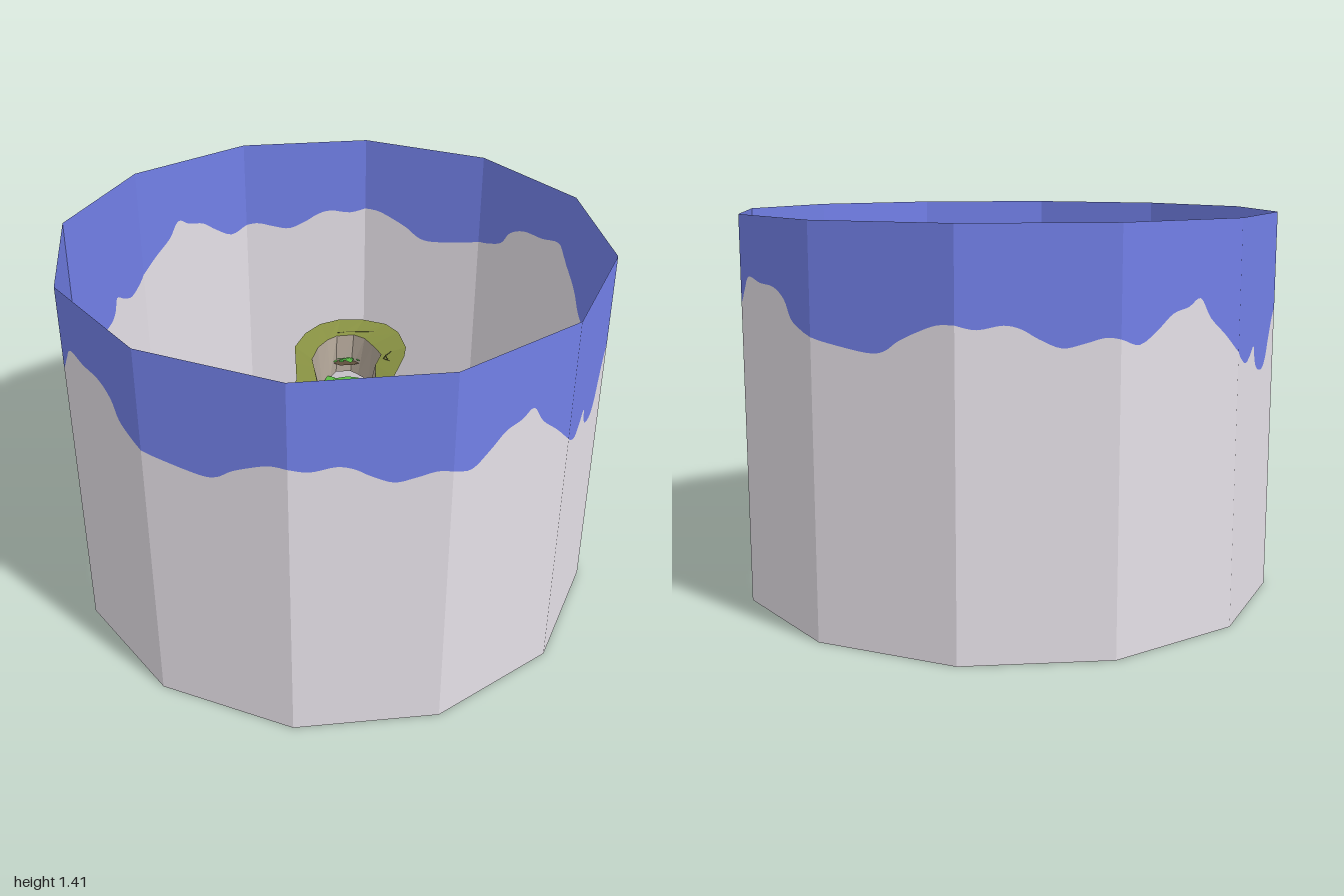
import * as THREE from 'three';

const mat = (name, color, side = THREE.FrontSide) => {
  const m = new THREE.MeshStandardMaterial({ color, side });
  m.name = name;
  return m;
};

// Horizon line: [position along the 12-sided wall, height], repeated twice around
const HORIZON = [
  [0, 1.1], [0.13, 1.085], [0.29, 1.098], [0.4, 1.085], [0.5, 1.055], [0.64, 1.025], [0.77, 1.037], [0.9, 1.055],
  [1, 1.05], [1.15, 1.027], [1.3, 1.07], [1.42, 1.115], [1.55, 1.132], [1.65, 1.157], [1.74, 1.09], [1.88, 1.027],
  [2, 0.965], [2.08, 0.935], [2.2, 0.912], [2.31, 0.93], [2.41, 0.957], [2.45, 0.905], [2.52, 0.87], [2.66, 0.857],
  [2.76, 0.888], [2.84, 0.957], [2.92, 1.02], [3, 1.06], [3.1, 1.07], [3.26, 1.05], [3.42, 1.005], [3.58, 0.985],
  [3.69, 1.005], [3.79, 1.05], [3.9, 1.08], [4, 1.1], [4.06, 1.15], [4.13, 1.197], [4.3, 1.182], [4.5, 1.176],
  [4.65, 1.14], [4.74, 1.08], [4.88, 1.05], [5, 1.035], [5.12, 1.02], [5.4, 0.997], [5.52, 1.005], [5.62, 1.04],
  [5.74, 1.07], [5.88, 1.097], [6, 1.1],
];

// Valley outline: outer x, z then inner x, z
const BANK = [
  [-0.07, -0.715, -0.07, -0.61], [0.03, -0.725, 0, -0.63], [0.13, -0.7, 0.05, -0.605], [0.19, -0.635, 0.09, -0.55],
  [0.235, -0.51, 0.135, -0.48], [0.235, -0.43, 0.12, -0.39], [0.21, -0.27, 0.135, -0.27], [0.21, -0.08, 0.145, -0.08],
  [0.22, 0.07, 0.145, 0.03], [0.17, 0.17, 0.115, 0.085], [0.085, 0.22, 0.07, 0.12], [0.03, 0.23, 0.03, 0.135],
  [-0.05, 0.21, -0.04, 0.125], [-0.14, 0.15, -0.085, 0.085], [-0.18, 0.1, -0.105, 0.05], [-0.19, 0, -0.1, -0.05],
  [-0.175, -0.19, -0.09, -0.2], [-0.2, -0.32, -0.125, -0.33], [-0.225, -0.45, -0.145, -0.4], [-0.2, -0.57, -0.135, -0.5],
  [-0.15, -0.66, -0.105, -0.57],
];
const FLOOR = 0.51, RIM = 0.675, RIDGE = 0.7, TOP = 1.41;

// Closed flat-shaded band between two rings of points
function band(a, b) {
  const pos = [];
  a.forEach((p, i) => {
    const j = (i + 1) % a.length;
    for (const v of [p, a[j], b[j], p, b[j], b[i]]) pos.push(v.x, v.y, v.z);
  });
  const g = new THREE.BufferGeometry();
  g.setAttribute('position', new THREE.Float32BufferAttribute(pos, 3));
  g.computeVertexNormals();
  return g;
}

// Flat horizontal plate from points in x, z
function plate(points, y) {
  const g = new THREE.ShapeGeometry(new THREE.Shape(points.map(p => new THREE.Vector2(p.x, -p.z))));
  return g.rotateX(-Math.PI / 2).translate(0, y, 0);
}

export function createModel() {
  const model = new THREE.Group();
  const sky = mat('skyBlue', 0x7280e8, THREE.DoubleSide);
  const haze = mat('hazeGrey', 0xe6e1e8, THREE.DoubleSide);
  const olive = mat('oliveGrass', 0x879042);
  const cliff = mat('cliffTaupe', 0xb0a496);
  const earth = mat('earthBrown', 0x5e4e3b);
  const green = mat('fairwayGreen', 0x5abb44);
  const leaf = mat('leafGreen', 0x45983a);
  const stone = mat('stoneGrey', 0x969078);
  const dark = mat('crackDark', 0x4a4a2a);

  const add = (name, geometry, material, parent = model) => {
    const m = new THREE.Mesh(geometry, material);
    m.name = name;
    parent.add(m);
    return m;
  };

  // Twelve-sided backdrop, split along a smooth horizon
  const steps = (HORIZON.length - 1) * 4;
  const half = new THREE.SplineCurve(HORIZON.map(p => new THREE.Vector2(...p))).getPoints(steps).slice(0, steps);
  const line = [...half, ...half.map(p => new THREE.Vector2(p.x + 6, p.y))];
  const corner = k => new THREE.Vector3(Math.sin(k * Math.PI / 6), 0, Math.cos(k * Math.PI / 6));
  const ring = heightOf => line.map(p => {
    const k = Math.floor(p.x);
    return corner(k).lerp(corner(k + 1), p.x - k).setY(heightOf(p.y));
  });
  const horizon = ring(y => y);
  add('lowerBackdrop', band(ring(() => 0), horizon), haze);
  add('upperBackdrop', band(horizon, ring(() => TOP)), sky);

  // Valley: grassy bank and cliff, open underneath
  const valley = new THREE.Group();
  valley.name = 'valley';
  model.add(valley);
  const outer = BANK.map(b => new THREE.Vector3(b[0], RIDGE, b[1]));
  const inner = BANK.map(b => new THREE.Vector3(b[2], RIM, b[3]));
  const foot = BANK.map((b, i) => {
    const out = new THREE.Vector3(b[0] - b[2], 0, b[1] - b[3]).normalize();
    return new THREE.Vector3(b[2], FLOOR, b[3]).addScaledVector(out, -0.02 - 0.008 * (i % 3));
  });
  add('grassBank', band(inner, outer), olive, valley);
  add('cliffWall', band(foot, inner), cliff, valley);

  // Winding fairway
  const fairway = [[-0.085, -0.51], [-0.05, -0.53], [-0.01, -0.545], [0.06, -0.53], [0.08, -0.475], [0.065, -0.42],
    [0.015, -0.4], [0.005, -0.345], [0.045, -0.28], [0.095, -0.24], [0.1, -0.175], [0.05, -0.175], [-0.015, -0.23],
    [-0.055, -0.32], [-0.09, -0.365], [-0.09, -0.44]].map(p => new THREE.Vector3(p[0], FLOOR + 0.006, p[1]));
  const edge = new THREE.CatmullRomCurve3(fairway, true);
  add('fairway', plate(edge.getPoints(60), FLOOR + 0.006), green, valley);

  // Rocky ledges with bushes
  const ledges = [
    [[-0.09, -0.19], [-0.03, -0.2], [0.05, -0.16], [0.07, -0.13], [0.05, -0.1], [-0.08, -0.085]],
    [[0.12, -0.41], [0.06, -0.38], [0.035, -0.35], [0.07, -0.31], [0.11, -0.24], [0.13, -0.29]],
    [[-0.09, -0.58], [-0.07, -0.61], [0, -0.63], [0.045, -0.6], [0, -0.57], [-0.05, -0.56]],
  ];
  const bush = new THREE.CircleGeometry(0.012, 5).rotateX(-Math.PI / 2);
  ledges.forEach(pts => {
    add('rockLedge', plate(pts.map(p => new THREE.Vector3(p[0], 0, p[1])), FLOOR + 0.05), earth, valley);
    const cx = pts.reduce((s, p) => s + p[0], 0) / pts.length;
    const cz = pts.reduce((s, p) => s + p[1], 0) / pts.length;
    pts.forEach((p, i) => [0.3, 0.75].forEach(t => {
      const b = add('bush', bush, i % 2 ? leaf : green, valley);
      b.position.set(cx + (p[0] - cx) * t, FLOOR + 0.058 + 0.002 * i, cz + (p[1] - cz) * t);
      b.rotation.y = i + t;
    }));
  });

  // Round boulder in a ring of leaves
  const boulder = new THREE.SphereGeometry(0.038, 8, 4, 0, Math.PI * 2, 0, Math.PI / 2).toNonIndexed();
  boulder.computeVertexNormals();
  add('boulder', boulder, stone, valley).position.set(-0.005, FLOOR, 0);
  const leaves = new THREE.CircleGeometry(0.046, 9).rotateX(-Math.PI / 2);
  add('boulderLeaves', leaves, leaf, valley).position.set(-0.005, FLOOR + 0.01, 0);

  // Small square grass tufts
  const tuftShape = new THREE.PlaneGeometry(0.04, 0.035).rotateX(-Math.PI / 2);
  [[-0.03, -0.06], [0.065, 0.04], [0, 0.08], [-0.045, -0.05], [-0.11, -0.385], [-0.085, -0.5], [0.1, -0.16],
    [0.04, 0.065], [0.09, -0.37], [-0.02, -0.21], [0.075, -0.2]].forEach(([x, z], i) => {
    const tuft = add('grassTuft', tuftShape, i % 3 ? green : leaf, valley);
    tuft.position.set(x, FLOOR + 0.014, z);
    tuft.rotation.set(0.15, i * 0.9, 0.1);
  });

  // Dark cracks lying on the bank: ring index and distance from inner to outer edge
  [[[0, 0.2], [1, 0.2], [2, 0.45]], [[4, 0.4], [4.5, 0.2], [5, 0.5]], [[4.2, 0.2], [4.8, 0.4]],
    [[10, 0.2], [11, 0.25], [11.8, 0.1]]].forEach(stops => {
    const path = stops.map(([i, t]) => {
      const k = Math.floor(i), at = r => r[k].clone().lerp(r[k + 1], i - k);
      return at(inner).lerp(at(outer), t);
    });
    add('bankCrack', new THREE.TubeGeometry(new THREE.CatmullRomCurve3(path), 12, 0.002, 4), dark, valley);
  });
  return model;
}
